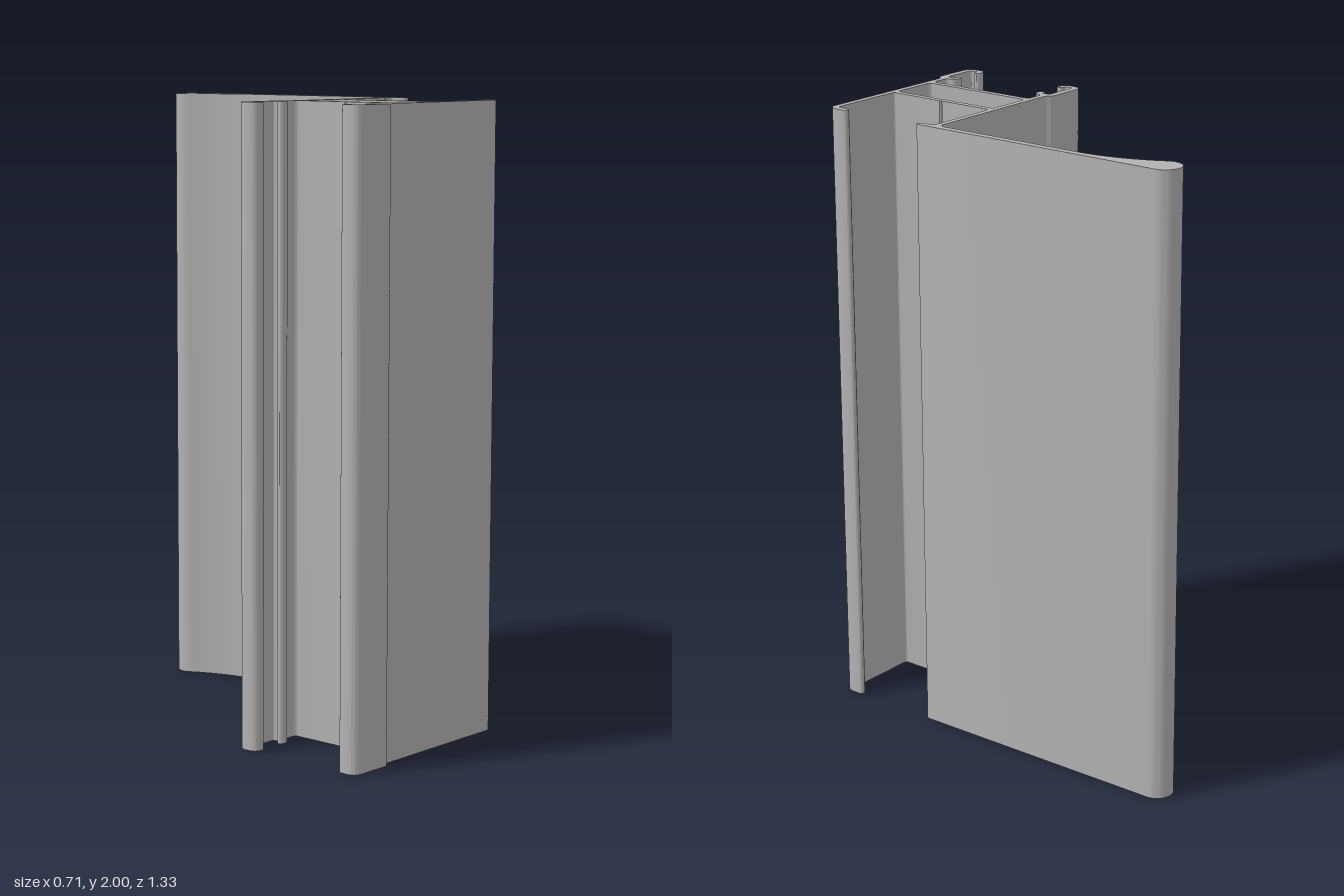
import * as THREE from 'three';
import { toCreasedNormals } from 'three/addons/utils/BufferGeometryUtils.js';

const MID = 0.43; // symmetry line of the two flanges, in z

// Add corners [x, z, radius] to a path, rounding each one
function addCorners(path, corners, before, after) {
  const k = 0.5523;
  const all = [before, ...corners, after];
  for (let i = 1; i < all.length - 1; i++) {
    const [x, z, r = 0] = all[i];
    if (!r) { path.lineTo(x, z); continue; }
    const p = new THREE.Vector2(x, z);
    const u = new THREE.Vector2(all[i - 1][0], all[i - 1][1]).sub(p).normalize();
    const v = new THREE.Vector2(all[i + 1][0], all[i + 1][1]).sub(p).normalize();
    const at = (d, s) => p.clone().addScaledVector(d, s);
    const a = at(u, r), b = at(v, r), c = at(u, r * (1 - k)), d = at(v, r * (1 - k));
    path.lineTo(a.x, a.y);
    path.bezierCurveTo(c.x, c.y, d.x, d.y, b.x, b.y);
  }
}

const mirrored = (corners) => corners.map(([x, z, r]) => [x, 2 * MID - z, r]).reverse();

function createProfile() {
  // Hooked channel at the edge of a flange, from its outer to its inner face
  const hook = [
    [-0.187, 0.212, 0.01], [-0.205, 0.193, 0.012],
    [-0.357, 0.193, 0.03], [-0.357, 0.267, 0.025],
    [-0.314, 0.267, 0.01], [-0.314, 0.246, 0.01],
    [-0.337, 0.246, 0.006], [-0.337, 0.217, 0.01],
    [-0.217, 0.217, 0.01], [-0.217, 0.246, 0.006],
    [-0.238, 0.246, 0.01], [-0.238, 0.267, 0.01],
    [-0.195, 0.267, 0.025], [-0.195, 0.233, 0.008],
    [-0.131, 0.233, 0.012],
  ];

  const corners = [
    [0.329, 0.212, 0.022],
    ...hook,
    // groove in the outer web
    [-0.131, 0.425], [-0.126, MID], [-0.131, 0.435],
    ...mirrored(hook),
    // front flange with its turned-in lip
    [0.354, 0.648, 0.035], [0.354, 0.573, 0.011],
    [0.331, 0.573, 0.011], [0.331, 0.627, 0.012],
    [0.067, 0.627, 0.012],
    // groove in the inner web
    [0.067, 0.435], [0.062, MID], [0.067, 0.425],
    [0.067, 0.233, 0.012],
    // groove and short lip of the rear flange
    [0.296, 0.233], [0.301, 0.229], [0.306, 0.233],
    [0.331, 0.233, 0.008], [0.331, 0.287, 0.011],
    [0.354, 0.287, 0.011],
  ];

  const shape = new THREE.Shape();
  // Rounded bulb tapering into the blade
  shape.moveTo(0.354, -0.614);
  shape.absarc(0.301, -0.614, 0.053, 0, -Math.PI * 7 / 6, true);
  shape.bezierCurveTo(0.285, -0.535, 0.329, -0.43, 0.329, -0.313);
  addCorners(shape, corners, [0.329, -0.313], [0.354, -0.614]);
  shape.closePath();

  // Closed chamber between the webs
  const chamber = [
    [-0.11, 0.233, 0.012], [0.046, 0.233, 0.012],
    [0.046, 0.627, 0.012], [-0.11, 0.627, 0.012],
  ];
  const hole = new THREE.Path();
  hole.moveTo(-0.11, 0.245);
  addCorners(hole, chamber, chamber[3], chamber[0]);
  hole.closePath();
  shape.holes.push(hole);
  return shape;
}

export function createModel() {
  const aluminium = new THREE.MeshStandardMaterial({ color: 0xb2b2b2 });
  aluminium.name = 'aluminium grey';

  // Extrude the cross-section and stand it upright
  const geometry = new THREE.ExtrudeGeometry(createProfile(), {
    depth: 2, bevelEnabled: false, curveSegments: 10,
  });
  geometry.rotateX(Math.PI / 2);
  geometry.translate(0, 2, 0);

  const profile = new THREE.Mesh(toCreasedNormals(geometry, 0.5), aluminium);
  profile.name = 'extrudedProfile';

  const group = new THREE.Group();
  group.name = 'frameProfile';
  group.add(profile);
  return group;
}
